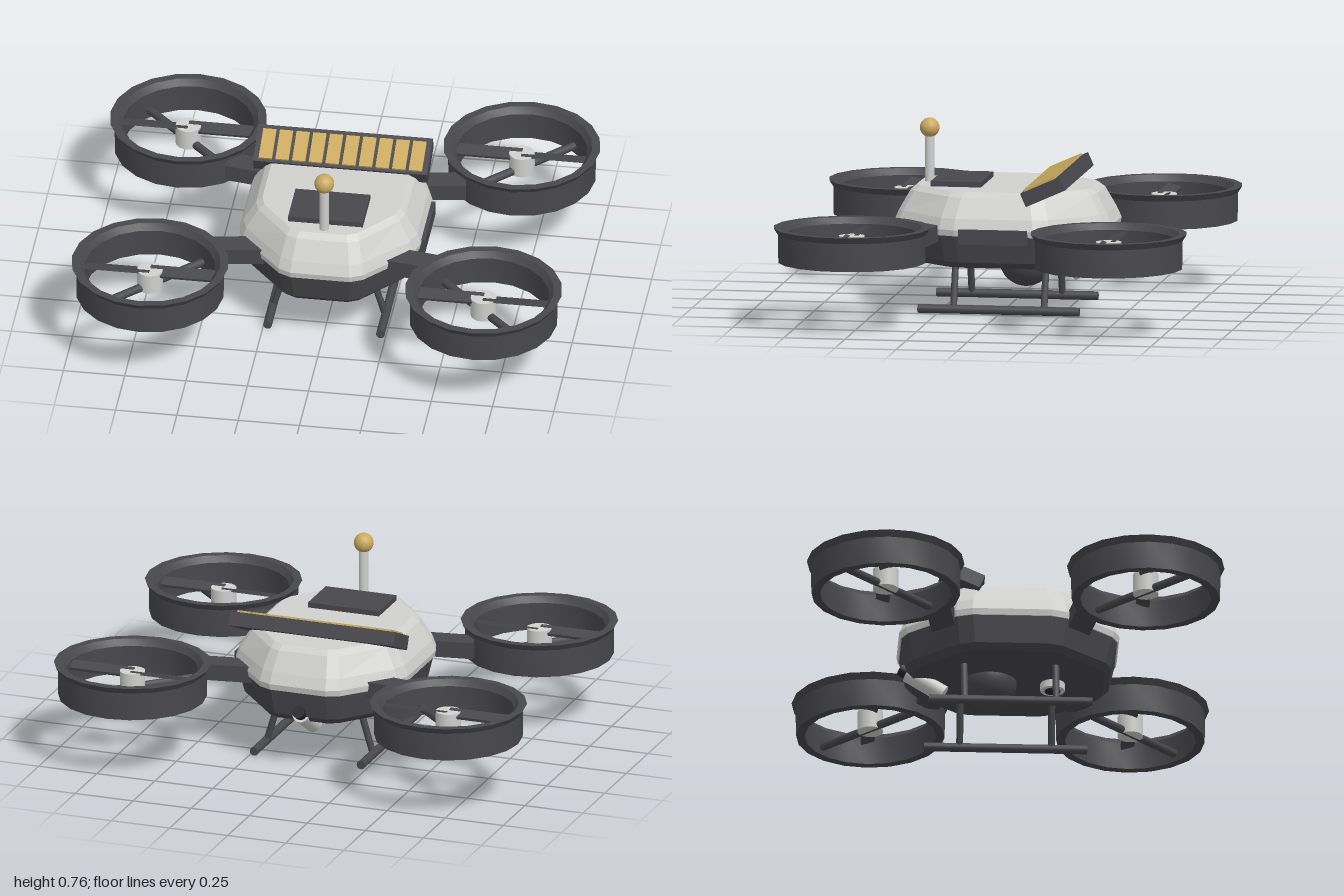
import * as THREE from 'three';
import { toCreasedNormals } from 'three/addons/utils/BufferGeometryUtils.js';

const material = (name, color) => {
  const m = new THREE.MeshStandardMaterial({ color });
  m.name = name;
  return m;
};

// One octagonal cross-section, with each corner softened into two points
function section([y, hx, hz, cx, cz]) {
  const c = [[hx, cz], [hx, -cz], [cx, -hz], [-cx, -hz], [-hx, -cz], [-hx, cz], [-cx, hz], [cx, hz]];
  const mix = (a, b) => new THREE.Vector3(a[0] + (b[0] - a[0]) * 0.1, y, a[1] + (b[1] - a[1]) * 0.1);
  return c.flatMap((p, i) => [mix(p, c[(i + 7) % 8]), mix(p, c[(i + 1) % 8])]);
}

// Faceted, capped loft through cross-sections listed from bottom to top
function loft(levels) {
  const rings = levels.map(section), pos = [];
  const tri = (...p) => p.forEach(v => pos.push(v.x, v.y, v.z));
  const n = rings[0].length, last = rings[rings.length - 1];
  for (let r = 0; r < rings.length - 1; r++) {
    for (let i = 0; i < n; i++) {
      const j = (i + 1) % n, a = rings[r], b = rings[r + 1];
      tri(a[i], a[j], b[j]);
      tri(a[i], b[j], b[i]);
    }
  }
  for (let i = 1; i < n - 1; i++) {
    tri(last[0], last[i], last[i + 1]);
    tri(rings[0][0], rings[0][i + 1], rings[0][i]);
  }
  const g = new THREE.BufferGeometry();
  g.setAttribute('position', new THREE.Float32BufferAttribute(pos, 3));
  g.computeVertexNormals();
  return g;
}

export function createModel() {
  const model = new THREE.Group();
  model.name = 'quadcopter';
  const light = material('lightGrey', 0xd0d0ce);
  const dark = material('darkGrey', 0x48474c);
  const gold = material('gold', 0xcbaa5f);
  const black = material('black', 0x26262a);

  const add = (parent, name, geometry, mat, x = 0, y = 0, z = 0) => {
    const m = new THREE.Mesh(geometry, mat);
    m.name = name;
    m.position.set(x, y, z);
    parent.add(m);
    return m;
  };
  const box = (w, h, d) => new THREE.BoxGeometry(w, h, d);
  // Round bar between two points
  const bar = (parent, name, a, b, radius, mat, sides = 12) => {
    const from = new THREE.Vector3(...a), to = new THREE.Vector3(...b);
    const m = add(parent, name, new THREE.CylinderGeometry(radius, radius, from.distanceTo(to), sides), mat);
    m.position.copy(from).lerp(to, 0.5);
    m.quaternion.setFromUnitVectors(new THREE.Vector3(0, 1, 0), to.sub(from).normalize());
    return m;
  };

  // Body: light upper shell over a dark belly
  add(model, 'upperShell', loft([
    [0.335, 0.365, 0.44, 0.15, 0.2], [0.36, 0.37, 0.445, 0.15, 0.2],
    [0.405, 0.355, 0.425, 0.145, 0.195], [0.485, 0.305, 0.38, 0.13, 0.175],
    [0.505, 0.28, 0.355, 0.12, 0.165]]), light);
  add(model, 'belly', loft([
    [0.2, 0.31, 0.385, 0.13, 0.175], [0.225, 0.335, 0.41, 0.14, 0.185],
    [0.335, 0.36, 0.435, 0.148, 0.197]]), dark);
  add(model, 'sideModule', box(0.04, 0.06, 0.28), dark, 0.365, 0.335, 0);
  add(model, 'topHatch', box(0.305, 0.025, 0.205), dark, 0, 0.514, 0.188);

  // Antenna
  bar(model, 'antennaRod', [0, 0.5, 0.32], [0, 0.7, 0.32], 0.02, light, 16);
  add(model, 'antennaBall', new THREE.SphereGeometry(0.04, 20, 14), gold, 0, 0.723, 0.32);

  // Tilted solar panel with ten cells
  const panel = new THREE.Group();
  panel.name = 'solarPanel';
  panel.position.set(0, 0.522, -0.2);
  panel.rotation.x = 0.42;
  model.add(panel);
  add(panel, 'panelFrame', box(0.71, 0.058, 0.175), dark);
  for (let i = 0; i < 10; i++) {
    add(panel, 'solarCell', box(0.054, 0.009, 0.14), gold, (i - 4.5) * 0.068, 0.033, 0.005);
  }

  // Belly sensors
  add(model, 'sensorDome', new THREE.SphereGeometry(0.11, 28, 18), dark, 0, 0.197, -0.075);
  bar(model, 'downCamera', [0, 0.17, 0.18], [0, 0.22, 0.18], 0.05, light, 20);
  bar(model, 'downLens', [0, 0.166, 0.18], [0, 0.18, 0.18], 0.032, black, 20);
  bar(model, 'rearTube', [0, 0.145, -0.26], [0, 0.235, -0.405], 0.036, light, 20);
  bar(model, 'rearTubeCap', [0, 0.225, -0.39], [0, 0.253, -0.435], 0.026, black, 16);

  // Landing skids
  for (const s of [-1, 1]) {
    const skid = new THREE.Group();
    skid.name = s > 0 ? 'leftSkid' : 'rightSkid';
    model.add(skid);
    bar(skid, 'skidRail', [s * 0.23, 0.018, 0.33], [s * 0.23, 0.018, -0.33], 0.018, dark);
    for (const z of [-0.185, 0.185]) {
      bar(skid, 'skidLeg', [s * 0.168, 0.22, z], [s * 0.228, 0.02, z], 0.014, dark);
    }
  }

  // Four ducted rotors on arms
  const profile = [[0.265, 0.27], [0.3, 0.27], [0.302, 0.385], [0.318, 0.41],
    [0.285, 0.41], [0.265, 0.385], [0.265, 0.27]].map(p => new THREE.Vector2(...p));
  const ductGeometry = toCreasedNormals(new THREE.LatheGeometry(profile, 20), 0.5);
  for (const sx of [-1, 1]) {
    for (const sz of [-1, 1]) {
      const side = (sz > 0 ? 'front' : 'rear') + (sx > 0 ? 'Left' : 'Right');
      const arm = add(model, side + 'Arm', box(0.24, 0.068, 0.1), dark, sx * 0.365, 0.34, sz * 0.287);
      arm.rotation.y = -sx * sz * 0.16;

      const rotor = new THREE.Group();
      rotor.name = side + 'Rotor';
      rotor.position.set(sx * 0.68, 0, sz * 0.525);
      model.add(rotor);
      add(rotor, 'duct', ductGeometry, dark);
      add(rotor, 'motor', new THREE.CylinderGeometry(0.052, 0.052, 0.085, 18), light, 0, 0.333, 0);
      const d = 0.194;
      bar(rotor, 'strut', [-sx * d, 0.305, -sz * d], [sx * d, 0.305, sz * d], 0.017, dark, 8);
      for (const b of [-1, 1]) {
        const blade = add(rotor, 'blade', box(0.265, 0.012, 0.056), dark, b * 0.1325, 0.367, 0);
        blade.rotation.x = -b * sx * 0.3;
      }
    }
  }
  return model;
}
